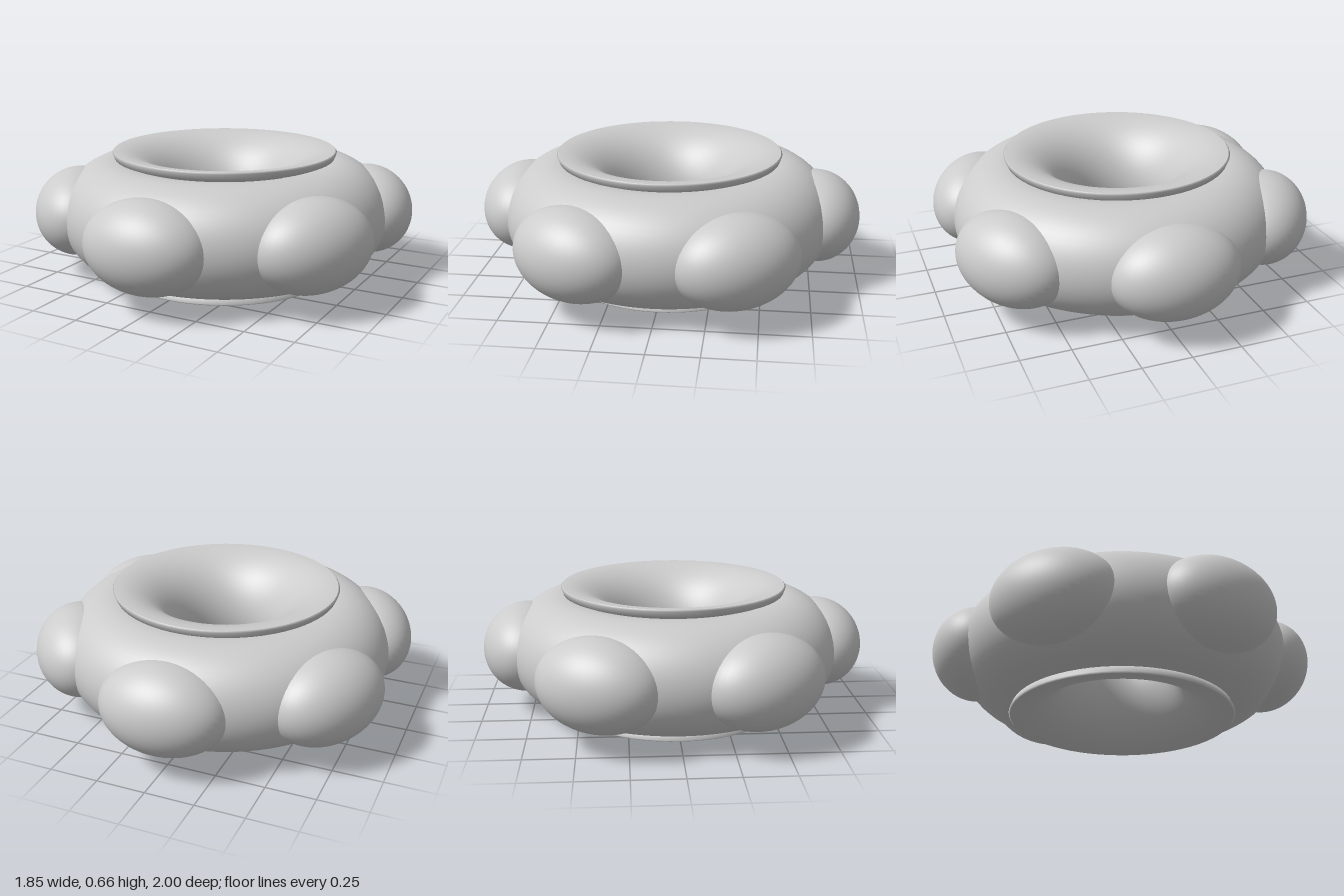
import * as THREE from 'three';

const MID = 0.33; // height of the ring's centre plane
const material = new THREE.MeshStandardMaterial({ color: 0xcccccc, side: THREE.DoubleSide });

function addMesh(group, name, geometry) {
  const mesh = new THREE.Mesh(geometry, material);
  mesh.name = name;
  group.add(mesh);
  return mesh;
}

export function createModel() {
  const group = new THREE.Group();
  group.name = 'lobedRing';

  // Main ring
  const ring = addMesh(group, 'ring', new THREE.TorusGeometry(0.583, 0.278, 48, 96));
  ring.rotation.x = Math.PI / 2;
  ring.position.y = MID;

  // Flared lining through the hole: half an elliptical tube, from top rim to bottom rim
  const lining = [];
  for (let i = 0; i <= 40; i++) {
    const a = (i / 40) * Math.PI;
    lining.push(new THREE.Vector2(0.58 - 0.32 * Math.sin(a), MID + 0.33 * Math.cos(a)));
  }
  addMesh(group, 'flaredLining', new THREE.LatheGeometry(lining, 64));

  // Thin overhanging rims at the top and bottom of the lining
  const lip = [[0.54, 0.608], [0.575, 0.622], [0.587, 0.652], [0.58, 0.66]]
    .map(([r, y]) => [r, y - MID]);
  for (const side of [1, -1]) {
    const points = lip.map(([r, y]) => new THREE.Vector2(r, MID + side * y));
    if (side < 0) points.reverse();
    addMesh(group, side > 0 ? 'topRim' : 'bottomRim', new THREE.LatheGeometry(points, 64));
  }

  // Six egg-shaped lobes around the outside
  const lobe = new THREE.SphereGeometry(1, 48, 32);
  for (let i = 0; i < 6; i++) {
    const angle = (i * Math.PI) / 3;
    const mesh = addMesh(group, 'lobe' + (i + 1), lobe);
    mesh.scale.set(0.325, 0.23, 0.23);
    mesh.position.set(0.77 * Math.sin(angle), MID, 0.77 * Math.cos(angle));
    mesh.rotation.y = angle;
  }
  return group;
}
